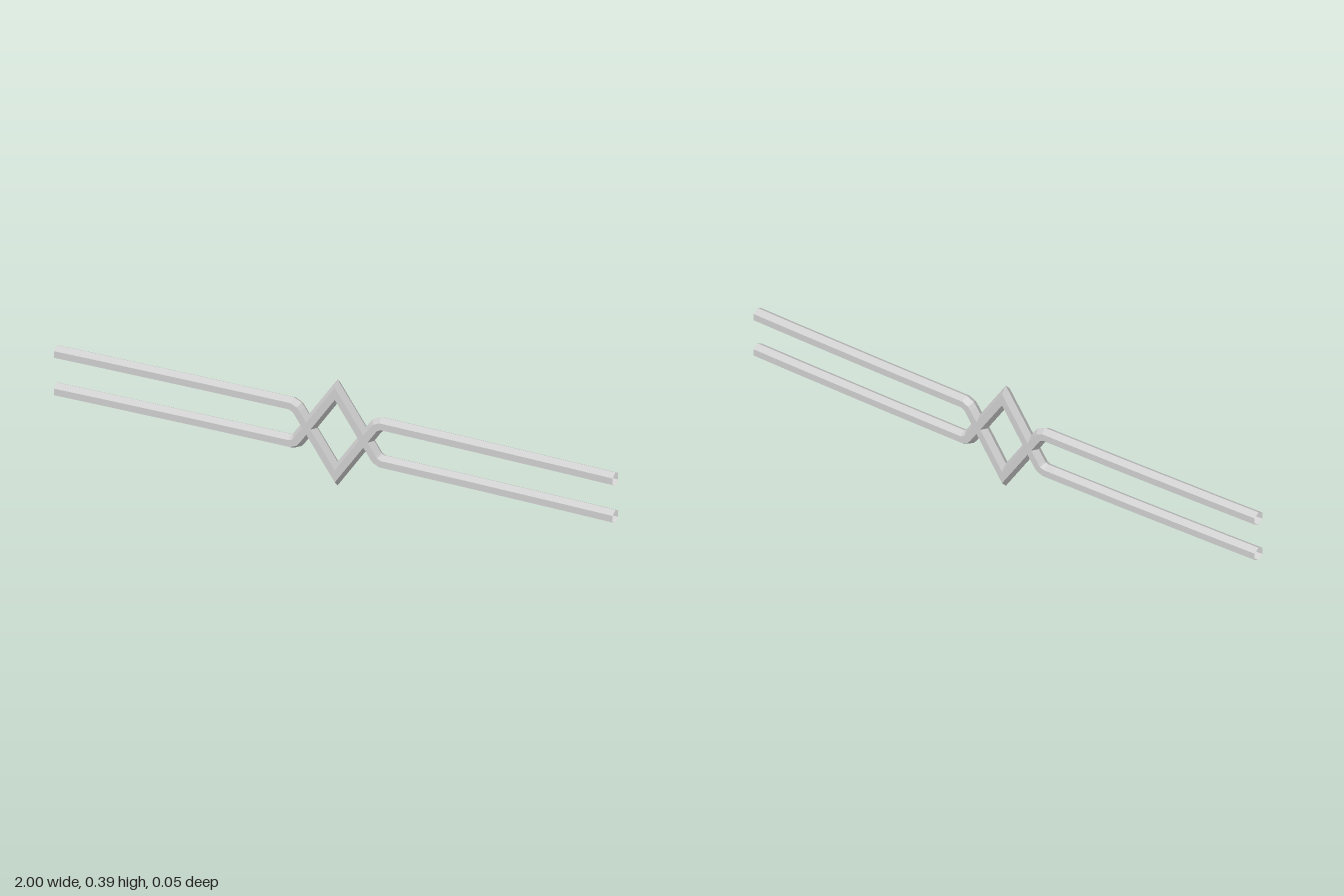
import * as THREE from 'three';

const MID = 0.1965;      // height of the mirror line between the two bars
const R = 0.0245;        // hexagon radius
const bow = x => -0.0055 + 0.012 * x * x;   // gentle forward bend of the tips

// Half of a bar's centre line, as [x, height from the mirror line], centre to tip
const HALF = [
  [0, 0.153], [0.136, -0.051], [0.144, -0.061], [0.162, -0.0695],
  [0.2, -0.0695], [0.48, -0.0695], [0.84, -0.0695], [1, -0.0695],
];

// Sweeps an open hexagonal tube along a flat path with mitred corners
function hexTube(path) {
  const rings = path.map((p, i) => {
    const a = path[Math.max(i - 1, 0)], b = path[Math.min(i + 1, path.length - 1)];
    const dIn = (i > 0 ? p.clone().sub(a) : b.clone().sub(p)).normalize();
    const dOut = (i < path.length - 1 ? b.clone().sub(p) : dIn.clone()).normalize();
    const t = dIn.clone().add(dOut).normalize();
    const miter = R / t.dot(dIn);
    return Array.from({ length: 6 }, (_, k) => {
      const ang = k * Math.PI / 3, c = Math.cos(ang) * miter;
      return [p.x - t.y * c, p.y + t.x * c, bow(p.x) + Math.sin(ang) * R];
    });
  });
  const pos = [];
  for (let i = 0; i < rings.length - 1; i++) {
    for (let k = 0; k < 6; k++) {
      const n = (k + 1) % 6, A = rings[i], B = rings[i + 1];
      pos.push(...A[k], ...A[n], ...B[n], ...A[k], ...B[n], ...B[k]);
    }
  }
  const geo = new THREE.BufferGeometry();
  geo.setAttribute('position', new THREE.Float32BufferAttribute(pos, 3));
  geo.computeVertexNormals();
  return geo;
}

export function createModel() {
  const group = new THREE.Group();
  group.name = 'crossedBars';
  const mat = new THREE.MeshStandardMaterial({ color: 0xcccccc, flatShading: true, side: THREE.DoubleSide });

  // Two mirrored bars cross twice and enclose the central diamond
  for (const [name, s] of [['peakedBar', 1], ['dippedBar', -1]]) {
    const right = HALF.map(([x, y]) => new THREE.Vector2(x, MID + s * y));
    const left = right.slice(1).reverse().map(p => new THREE.Vector2(-p.x, p.y));
    const bar = new THREE.Mesh(hexTube([...left, ...right]), mat);
    bar.name = name;
    group.add(bar);
  }
  return group;
}
